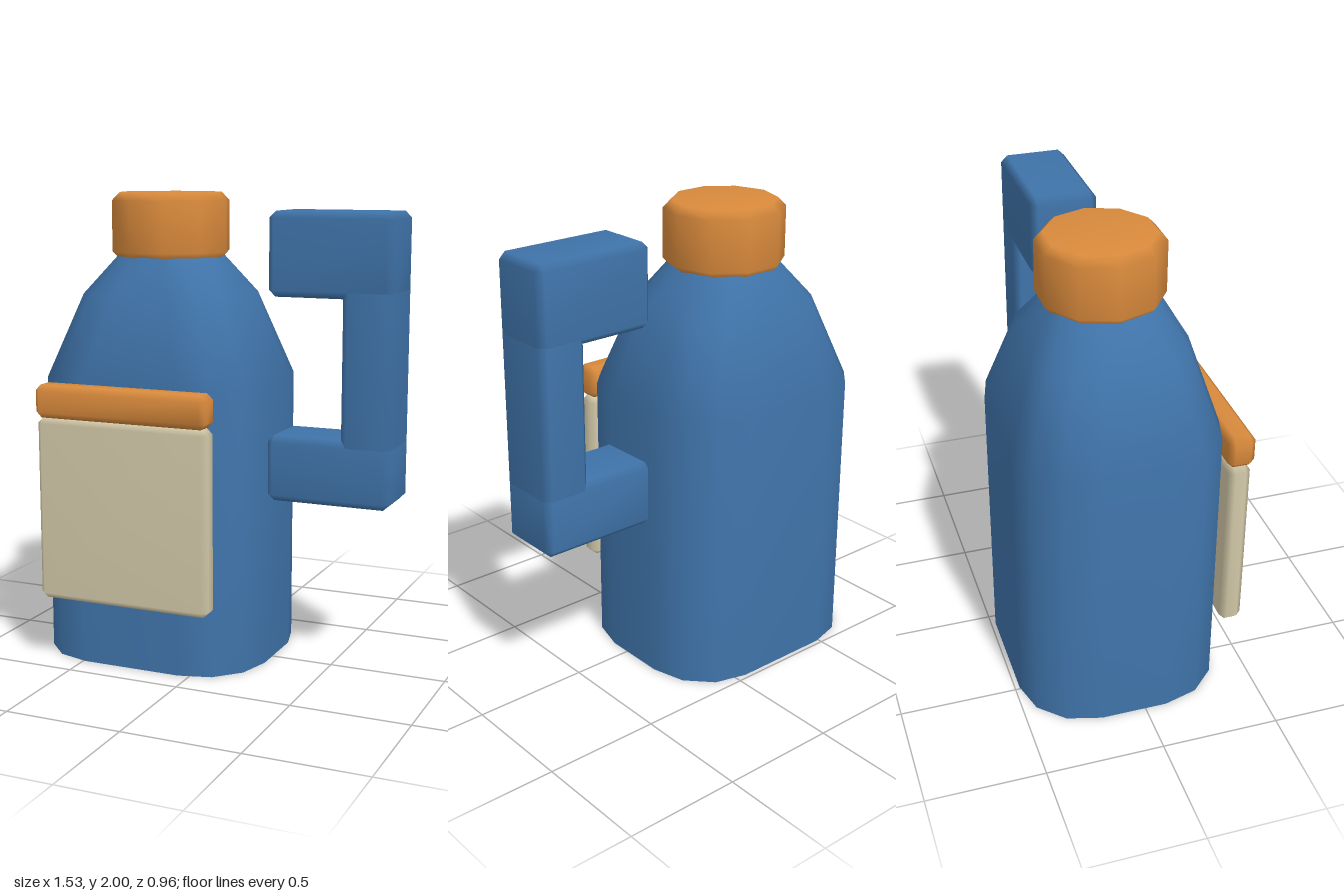
import * as THREE from 'three';
import { mergeVertices } from 'three/addons/utils/BufferGeometryUtils.js';
import { ConvexGeometry } from 'three/addons/geometries/ConvexGeometry.js';

const CX = -0.27, CZ = -0.05; // bottle axis

function material(name, color) {
  const m = new THREE.MeshStandardMaterial({ color });
  m.name = name;
  return m;
}

// Chamfered box between two corners, shaded smoothly
function bevelBox(min, max, b) {
  const points = [];
  for (const x of [0, 1]) for (const y of [0, 1]) for (const z of [0, 1]) {
    const side = [x, y, z];
    for (let axis = 0; axis < 3; axis++) {
      const p = side.map((s, i) => {
        const inset = i === axis ? 0 : b;
        return s ? max[i] - inset : min[i] + inset;
      });
      points.push(new THREE.Vector3(...p));
    }
  }
  let g = new ConvexGeometry(points);
  g.deleteAttribute('normal');
  g = mergeVertices(g, 1e-4);
  g.computeVertexNormals();
  return g;
}

// Sixteen-sided ring: rounded rectangle at the base, turning round at the neck
function ring(y, rx, rz, roundness) {
  const quarter = [[1, 0.33], [0.92, 0.67], [0.72, 0.91], [0.44, 1]];
  const pts = [];
  for (let i = 0; i < 16; i++) {
    const q = Math.floor(i / 4), k = i % 4;
    const [ux, uz] = quarter[q % 2 ? 3 - k : k];
    const sx = q === 0 || q === 3 ? 1 : -1, sz = q < 2 ? 1 : -1;
    const a = ((i + 0.5) / 16) * Math.PI * 2;
    const x = THREE.MathUtils.lerp(sx * ux, Math.cos(a), roundness);
    const z = THREE.MathUtils.lerp(sz * uz, Math.sin(a), roundness);
    pts.push([CX + x * rx, y, CZ + z * rz]);
  }
  return pts;
}

function loft(rings) {
  const n = 16, index = [];
  for (let r = 0; r < rings.length - 1; r++) {
    for (let i = 0; i < n; i++) {
      const a = r * n + i, b = r * n + (i + 1) % n;
      index.push(a, a + n, b, b, a + n, b + n);
    }
  }
  const g = new THREE.BufferGeometry();
  g.setAttribute('position', new THREE.Float32BufferAttribute(rings.flat(2), 3));
  g.setIndex(index);
  g.computeVertexNormals();
  return g;
}

// Flat fan closing a ring, facing down or up
function disc(pts, up) {
  const index = [];
  for (let i = 1; i < pts.length - 1; i++) index.push(0, up ? i + 1 : i, up ? i : i + 1);
  const g = new THREE.BufferGeometry();
  g.setAttribute('position', new THREE.Float32BufferAttribute(pts.flat(), 3));
  g.setIndex(index);
  g.computeVertexNormals();
  return g;
}

export function createModel() {
  const group = new THREE.Group();
  const blue = material('blue', 0x3f73a9);
  const orange = material('orange', 0xd98a3c);
  const cream = material('cream', 0xd2c8a8);
  const add = (name, geometry, mat, parent = group) => {
    const mesh = new THREE.Mesh(geometry, mat);
    mesh.name = name;
    parent.add(mesh);
    return mesh;
  };

  // Bottle body: straight walls, then shoulders narrowing to the neck
  const rings = [
    ring(0, 0.5, 0.43, 0),
    ring(1.21, 0.5, 0.43, 0),
    ring(1.57, 0.36, 0.32, 0.3),
    ring(1.73, 0.23, 0.23, 0.9),
  ];
  const body = new THREE.Group();
  body.name = 'body';
  group.add(body);
  add('bodyWall', loft(rings), blue, body);
  add('bodyBase', disc(rings[0], false), blue, body);
  add('bodyTop', disc(rings[3], true), blue, body);

  // Ten-sided cap with bevelled rims
  const profile = [[0, 1.715], [0.222, 1.715], [0.256, 1.75], [0.256, 1.965], [0.222, 2], [0, 2]];
  const capGeometry = new THREE.LatheGeometry(
    profile.map(([r, y]) => new THREE.Vector2(r, y)), 10, Math.PI / 2);
  add('cap', capGeometry, orange).position.set(CX, 0, CZ);

  // Front pocket and its flap
  add('pocket', bevelBox([-0.66, 0.29, 0.37], [0.12, 1.075, 0.465], 0.025), cream);
  add('pocketFlap', bevelBox([-0.66, 1.075, 0.365], [0.12, 1.215, 0.48], 0.025), orange);

  // Handle: two arms joined by an upright grip
  const handle = new THREE.Group();
  handle.name = 'handle';
  group.add(handle);
  const z0 = -0.19, z1 = 0.095, b = 0.028;
  add('upperArm', bevelBox([0.23, 1.58, z0], [0.765, 1.93, z1], b), blue, handle);
  add('lowerArm', bevelBox([0.23, 0.72, z0], [0.765, 1.0, z1], b), blue, handle);
  add('grip', bevelBox([0.552, 0.944, z0], [0.765, 1.636, z1], b), blue, handle);

  return group;
}
